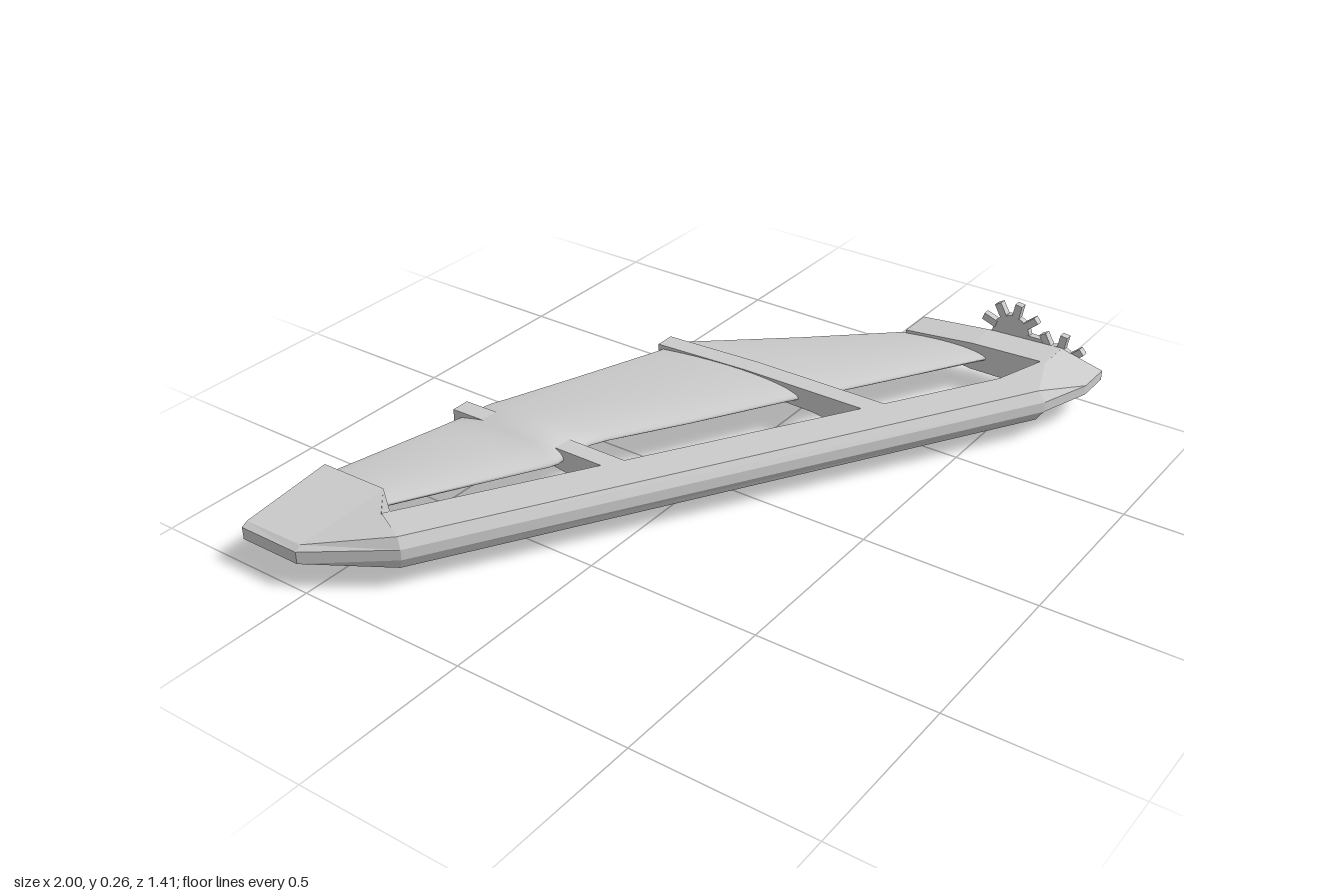
import * as THREE from 'three';

const grey = (opts = {}) => new THREE.MeshStandardMaterial({ color: 0xcccccc, ...opts });

// Skin a row of equal-length rings of [x, y, z] points, with capped ends.
function loft(rings, name, smooth = false) {
  const n = rings[0].length, pos = rings.flat(2);
  let idx = [];
  for (let r = 0; r < rings.length - 1; r++) {
    for (let i = 0; i < n; i++) {
      const a = r * n + i, b = r * n + (i + 1) % n;
      idx.push(a, b, a + n, b, b + n, a + n);
    }
  }
  const last = (rings.length - 1) * n;
  for (let i = 1; i < n - 1; i++) idx.push(0, i + 1, i, last, last + i, last + i + 1);
  // Turn the faces outward if the enclosed volume comes out negative.
  const p = (i) => new THREE.Vector3().fromArray(pos, i * 3);
  let volume = 0;
  for (let i = 0; i < idx.length; i += 3) volume += p(idx[i]).dot(p(idx[i + 1]).cross(p(idx[i + 2])));
  if (volume < 0) idx.reverse();
  const g = new THREE.BufferGeometry();
  g.setAttribute('position', new THREE.Float32BufferAttribute(pos, 3));
  g.setIndex(idx);
  g.computeVertexNormals();
  const mesh = new THREE.Mesh(g, grey({ flatShading: !smooth }));
  mesh.name = name;
  return mesh;
}

// Chordwise bar between x0 and x1; stations are [z, bottom, top].
const bar = (name, x0, x1, stations) => loft(stations.map(([z, lo, hi]) =>
  [[x0, lo, z], [x1, lo, z], [x1, hi, z], [x0, hi, z]]), name);

// Six-sided section between an outer and an inner point, chamfered outside.
function sparRing([ox, oz, ix, iz, f, noseLo, noseHi, outLo, outHi, inLo, inHi]) {
  const cx = ox + (ix - ox) * f, cz = oz + (iz - oz) * f;
  return [[ox, noseLo, oz], [ox, noseHi, oz], [cx, outHi, cz],
    [ix, inHi, iz], [ix, inLo, iz], [cx, outLo, cz]];
}

// Wing section: rounded leading edge, sharp trailing edge.
function wingRing([x, zLead, zTrail, yLead, yTrail, up, down]) {
  const ring = [], N = 14;
  const point = (t, h) => {
    const shape = 2.6 * Math.sqrt(t) * (1 - t) + 0.06 * t;
    return [x, yLead + (yTrail - yLead) * t + h * shape, zLead + (zTrail - zLead) * t];
  };
  for (let i = 0; i <= N; i++) ring.push(point((i / N) ** 2, up));
  for (let i = N; i > 0; i--) ring.push(point((i / N) ** 2, -down));
  return ring;
}

// Flat toothed wheel facing +x.
function gear(name, y, z) {
  const group = new THREE.Group();
  group.name = name;
  const disc = new THREE.Mesh(new THREE.CylinderGeometry(0.06, 0.06, 0.02, 32), grey());
  disc.name = 'gearDisc';
  disc.rotation.z = Math.PI / 2;
  group.add(disc);
  for (let i = 0; i < 9; i++) {
    const a = i * Math.PI * 2 / 9;
    const tooth = new THREE.Mesh(new THREE.BoxGeometry(0.022, 0.022, 0.046), grey());
    tooth.name = 'gearTooth';
    tooth.position.set(0, Math.sin(a) * 0.076, Math.cos(a) * 0.076);
    tooth.rotation.x = -a;
    group.add(tooth);
  }
  group.position.set(0.989, y, z);
  return group;
}

export function createModel() {
  const model = new THREE.Group();
  model.name = 'wing';

  // Leading spar, from the drooped tip plate round to the root
  model.add(loft([
    [-1, -0.71, -0.71, -0.71, 0.06, 0.08, 0.115, 0.07, 0.125, 0.105, 0.155],
    [-1, -0.52, -0.71, -0.5, 0.06, 0.08, 0.115, 0.07, 0.128, 0.095, 0.157],
    [-0.86, -0.3, -0.8, -0.42, 0.12, 0.1, 0.13, 0.068, 0.16, 0.068, 0.16],
    [0.71, 0.655, 0.71, 0.51, 0.15, 0.1, 0.13, 0.068, 0.16, 0.068, 0.16],
    [0.87, 0.705, 0.87, 0.56, 0.9, 0.098, 0.127, 0.068, 0.16, 0.068, 0.16],
    [0.978, 0.705, 0.978, 0.56, 0.9, 0.098, 0.127, 0.068, 0.16, 0.068, 0.16],
  ].map(sparRing), 'leadingSpar'));

  // Root rib and the two cross ribs
  model.add(bar('rootRib', 0.87, 0.978,
    [[0.575, 0.068, 0.16], [0.34, 0.068, 0.152], [0.22, 0.086, 0.14], [0.12, 0.1, 0.13]]));
  model.add(bar('innerRib', 0.34, 0.4,
    [[0.36, 0.07, 0.159], [0.28, 0.076, 0.159], [0.12, 0.096, 0.159],
      [-0.1, 0.102, 0.159], [-0.41, 0.108, 0.148]]));
  model.add(bar('outerRib', -0.305, -0.25,
    [[-0.04, 0.07, 0.159], [-0.12, 0.076, 0.159], [-0.28, 0.1, 0.159],
      [-0.45, 0.11, 0.159], [-0.63, 0.118, 0.156]]));

  // Wing panel: x, leading z, trailing z, leading y, trailing y, upper and lower thickness
  const stations = [
    [0.89, 0.4, 0.12, 0.113, 0.115, 0.018, 0.014],
    [0.65, 0.263, -0.113, 0.118, 0.127, 0.022, 0.016],
    [0.43, 0.135, -0.35, 0.122, 0.135, 0.026, 0.02],
    [0.4, 0.115, -0.38, 0.122, 0.135, 0.028, 0.024],
    [0.35, 0.083, -0.39, 0.124, 0.135, 0.027, 0.022],
    [0.29, 0.05, -0.41, 0.125, 0.135, 0.025, 0.018],
    [0.05, -0.09, -0.495, 0.126, 0.136, 0.025, 0.017],
    [-0.15, -0.213, -0.568, 0.128, 0.137, 0.025, 0.017],
    [-0.2, -0.234, -0.587, 0.13, 0.138, 0.026, 0.019],
    [-0.23, -0.24, -0.592, 0.131, 0.138, 0.033, 0.024],
    [-0.255, -0.24, -0.597, 0.132, 0.138, 0.04, 0.028],
    [-0.3, -0.243, -0.6, 0.132, 0.138, 0.04, 0.028],
    [-0.325, -0.243, -0.606, 0.131, 0.138, 0.033, 0.024],
    [-0.35, -0.252, -0.611, 0.13, 0.138, 0.026, 0.019],
    [-0.4, -0.282, -0.623, 0.129, 0.137, 0.022, 0.016],
    [-0.73, -0.47, -0.7, 0.128, 0.134, 0.018, 0.014],
  ];
  model.add(loft(stations.map(wingRing), 'wingPanel', true));

  // Meshing gears on the root face
  model.add(gear('frontGear', 0.1, 0.56), gear('rearGear', 0.157, 0.41));
  return model;
}
